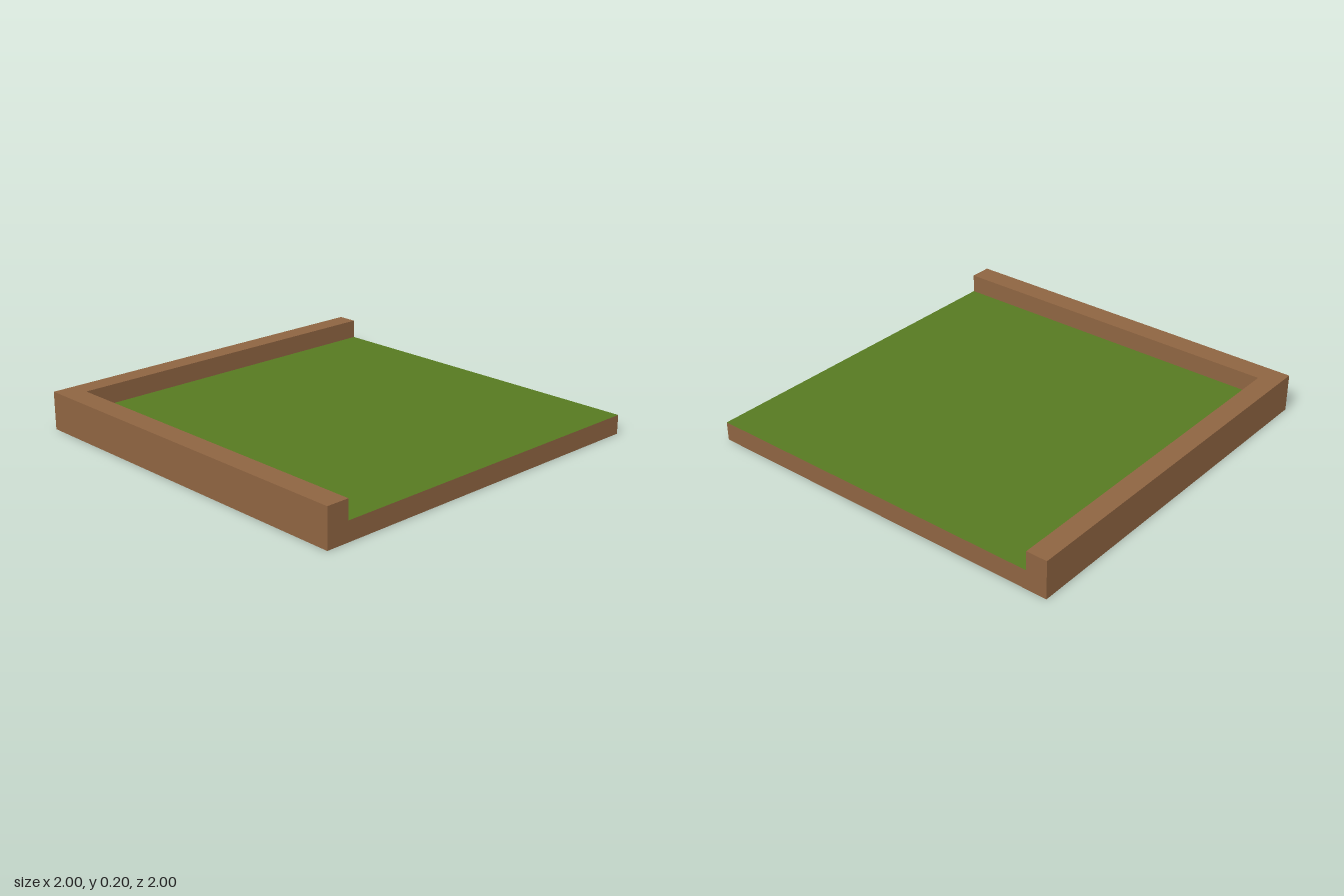
import * as THREE from 'three';

export function createModel() {
  const model = new THREE.Group();
  model.name = 'cornerGroundTile';

  const earth = new THREE.MeshStandardMaterial({ color: 0x8e6441 });
  earth.name = 'earthBrown';
  const grass = new THREE.MeshStandardMaterial({ color: 0x567a21 });
  grass.name = 'grassGreen';

  // Square slab: earth sides and underside, grass on the top face
  const slabHeight = 0.1;
  const slab = new THREE.Mesh(
    new THREE.BoxGeometry(2, slabHeight, 2),
    [earth, earth, grass, earth, earth, earth]
  );
  slab.name = 'groundSlab';
  slab.position.y = slabHeight / 2;
  model.add(slab);

  // L-shaped raised border along the right (-x) and back (-z) edges
  const outline = [[-1, -1], [-0.88, -1], [-0.88, 0.89], [1, 0.89], [1, 1], [-1, 1]];
  const shape = new THREE.Shape(outline.map(([x, y]) => new THREE.Vector2(x, y)));
  const borderGeometry = new THREE.ExtrudeGeometry(shape, { depth: 0.1, bevelEnabled: false });
  borderGeometry.rotateX(-Math.PI / 2);
  const border = new THREE.Mesh(borderGeometry, earth);
  border.name = 'cornerBorder';
  border.position.y = slabHeight;
  model.add(border);

  return model;
}
